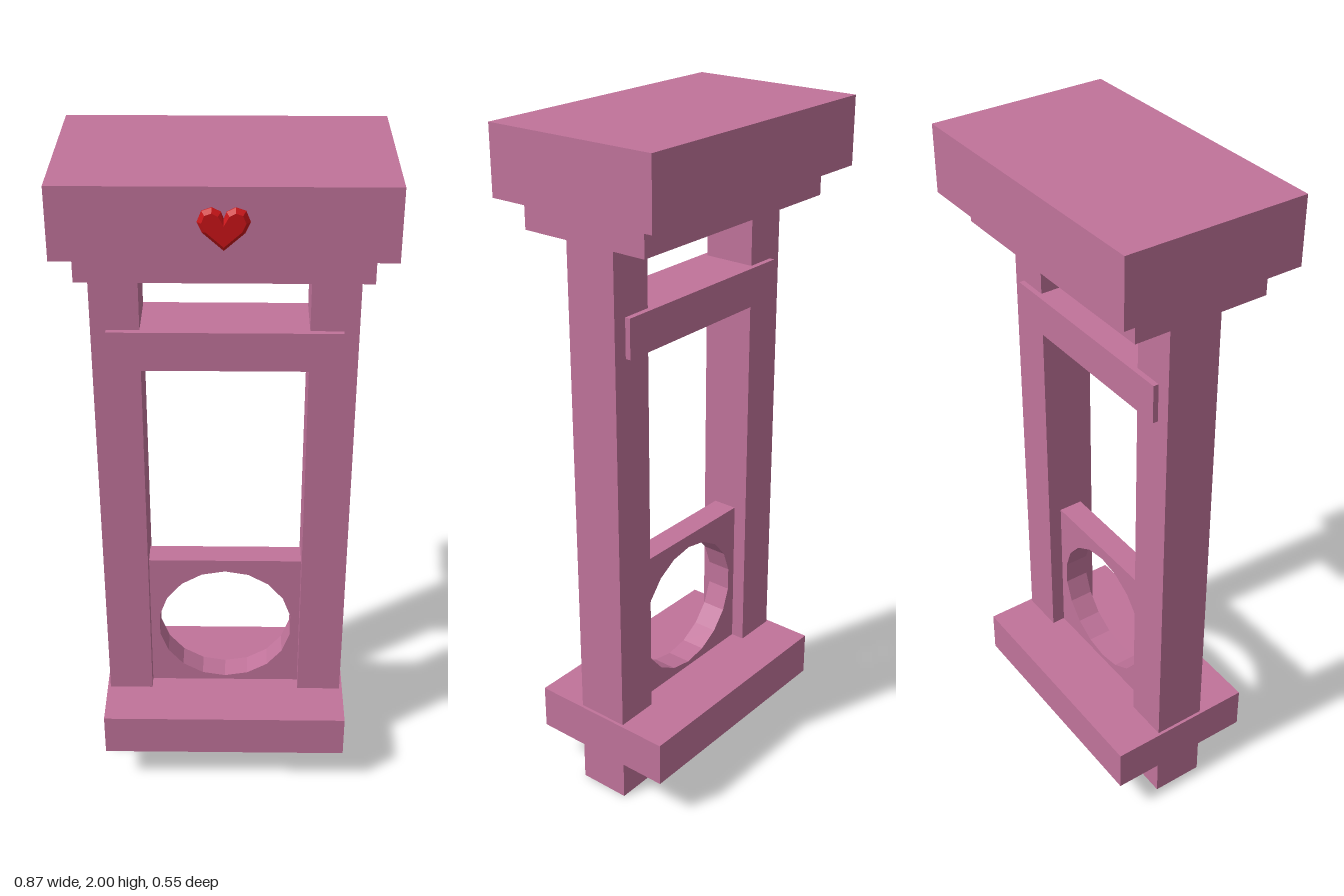
import * as THREE from 'three';

const pink = new THREE.MeshStandardMaterial({ color: 0xc0739a, flatShading: true });
const red = new THREE.MeshStandardMaterial({ color: 0xc81418, flatShading: true });

export function createModel() {
  const model = new THREE.Group();
  model.name = 'gate';

  const add = (name, geometry, material = pink) => {
    const mesh = new THREE.Mesh(geometry, material);
    mesh.name = name;
    model.add(mesh);
    return mesh;
  };
  // Box given by its limits on each axis
  const block = (name, [x0, x1], [y0, y1], [z0, z1]) =>
    add(name, new THREE.BoxGeometry(x1 - x0, y1 - y0, z1 - z0))
      .position.set((x0 + x1) / 2, (y0 + y1) / 2, (z0 + z1) / 2);

  // Stacked roof, cross beam and base slab
  block('roofSlab', [-0.436, 0.436], [1.805, 2], [-0.275, 0.26]);
  block('roofLedge', [-0.385, 0.385], [1.72, 1.805], [-0.207, 0.198]);
  block('crossBeam', [-0.321, 0.321], [1.41, 1.525], [-0.101, 0.09]);
  block('baseSlab', [-0.372, 0.372], [0.127, 0.263], [-0.234, 0.224]);

  // Posts run through the base down to the ground
  block('leftPost', [0.23, 0.363], [0, 1.72], [-0.085, 0.074]);
  block('rightPost', [-0.363, -0.23], [0, 1.72], [-0.085, 0.074]);

  // Panel between the posts with an 18-sided opening
  const panel = new THREE.Shape([
    [-0.23, 0.263], [0.23, 0.263], [0.23, 0.73], [-0.23, 0.73],
  ].map(([x, y]) => new THREE.Vector2(x, y)));
  const ring = [];
  for (let i = 0; i < 18; i++) {
    const a = (i / 18) * Math.PI * 2;
    ring.push(new THREE.Vector2(0.206 * Math.sin(a), 0.484 + 0.206 * Math.cos(a)));
  }
  panel.holes.push(new THREE.Path(ring));
  add('roundOpeningPanel', new THREE.ExtrudeGeometry(panel, { depth: 0.075, bevelEnabled: false }))
    .position.z = -0.043;

  // Faceted heart on the front of the roof, outlined from one mirrored half
  const half = [[0, 1.85], [0.045, 1.89], [0.055, 1.912], [0.047, 1.932], [0.03, 1.938], [0.014, 1.93]];
  const left = half.slice(1).reverse().map(([x, y]) => [-x, y]);
  const heart = new THREE.Shape(
    [...half, [0, 1.905], ...left].map(([x, y]) => new THREE.Vector2(x, y)));
  add('heart', new THREE.ExtrudeGeometry(heart, {
    depth: 0.015, bevelThickness: 0.012, bevelSize: 0.01, bevelSegments: 1,
  }), red).position.z = 0.248;

  return model;
}
